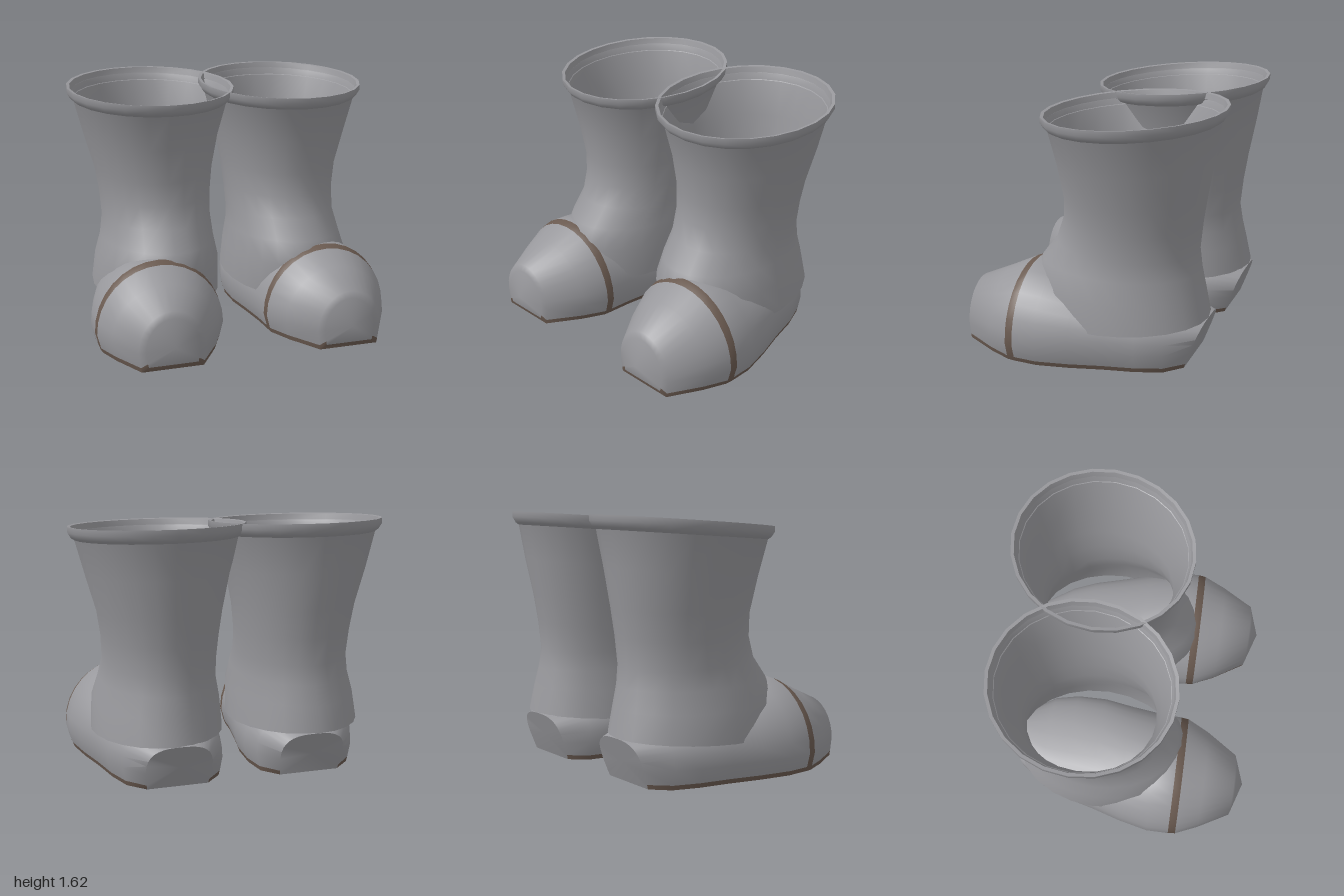
import * as THREE from 'three';
import { toCreasedNormals } from 'three/addons/utils/BufferGeometryUtils.js';

const V = (x, y, z) => new THREE.Vector3(x, y, z);

// Skin closed rings of points; side = -1 mirrors across x. isTrim(i, j) picks the second material.
function loft(rings, side, { front, back, isTrim = () => false } = {}) {
  const n = rings[0].length;
  const points = rings.flat();
  const faces = [[], []];
  const tri = (m, a, b, c) => faces[m].push(...(side > 0 ? [a, b, c] : [a, c, b]));
  for (let i = 0; i < rings.length - 1; i++) {
    for (let j = 0; j < n; j++) {
      const k = (j + 1) % n, m = isTrim(i, j) ? 1 : 0;
      const a = i * n + j, b = i * n + k, c = a + n, d = b + n;
      tri(m, a, c, d);
      tri(m, a, d, b);
    }
  }
  if (front) {
    points.push(front);
    for (let j = 0; j < n; j++) tri(0, points.length - 1, j, (j + 1) % n);
  }
  if (back) {
    points.push(back);
    const o = (rings.length - 1) * n;
    for (let j = 0; j < n; j++) tri(0, points.length - 1, o + (j + 1) % n, o + j);
  }
  const geo = new THREE.BufferGeometry();
  geo.setAttribute('position', new THREE.Float32BufferAttribute(
    points.flatMap(p => [p.x * side, p.y, p.z]), 3));
  geo.setIndex([...faces[0], ...faces[1]]);
  geo.addGroup(0, faces[0].length, 0);
  if (faces[1].length) geo.addGroup(faces[0].length, faces[1].length, 1);
  return toCreasedNormals(geo, 1.0);
}

// Tilted oval ring: height at back and front, z at back and front, inner and outer x
function oval([yB, yF, zB, zF, x0, x1], n = 24) {
  return Array.from({ length: n }, (_, i) => {
    const t = i / n * Math.PI * 2, s = -Math.sin(t);
    return V((x0 + x1) / 2 + (x1 - x0) / 2 * Math.cos(t),
      THREE.MathUtils.lerp(yB, yF, (s + 1) / 2),
      (zB + zF) / 2 + (zF - zB) / 2 * s);
  });
}

// Foot slice: flat base, short upright edge, rounded top; power below 1 makes it boxier
const ARCH = 16;
function slice([z, xc, w, h, power = 1]) {
  const pts = [V(xc + w * 0.92, 0, z), V(xc + w * 0.945, 0.03, z)];
  for (let i = 0; i <= ARCH; i++) {
    const t = i / ARCH * Math.PI, c = Math.cos(t);
    pts.push(V(xc + w * Math.sign(c) * Math.abs(c) ** power,
      0.12 + (h - 0.12) * Math.max(0, Math.sin(t)) ** power, z));
  }
  pts.push(V(xc - w * 0.945, 0.03, z), V(xc - w * 0.92, 0, z));
  return pts;
}

const SHAFT = [
  [1.57, 1.48, -0.805, 0.29, -0.075, 0.975],
  [1.53, 1.45, -0.79, 0.275, -0.06, 0.96],
  [1.30, 1.22, -0.755, 0.22, 0.005, 0.90],
  [1.06, 1.00, -0.715, 0.19, 0.05, 0.835],
  [0.88, 0.85, -0.69, 0.20, 0.07, 0.81],
  [0.70, 0.71, -0.675, 0.25, 0.08, 0.80],
  [0.58, 0.58, -0.695, 0.35, 0.075, 0.82],
  [0.45, 0.44, -0.725, 0.41, 0.05, 0.86],
  [0.29, 0.21, -0.76, 0.38, 0.04, 0.88],
];
const RIM = [
  [1.575, 1.485, -0.80, 0.285, -0.07, 0.97],
  [1.612, 1.522, -0.81, 0.295, -0.08, 0.98],
  [1.615, 1.525, -0.83, 0.315, -0.10, 1.00],
  [1.58, 1.49, -0.83, 0.315, -0.10, 1.00],
  [1.545, 1.46, -0.81, 0.295, -0.08, 0.98],
  [1.525, 1.445, -0.785, 0.27, -0.055, 0.955],
];
const FOOT = [
  [0.76, 0.575, 0.21, 0.37],
  [0.55, 0.565, 0.34, 0.465],
  [0.40, 0.56, 0.41, 0.54],
  [0.35, 0.56, 0.415, 0.56],
  [0.20, 0.555, 0.42, 0.55],
  [0.0, 0.52, 0.41, 0.48, 0.9],
  [-0.2, 0.475, 0.395, 0.43, 0.8],
  [-0.4, 0.45, 0.37, 0.38, 0.75],
  [-0.56, 0.435, 0.32, 0.34, 0.7],
  [-0.66, 0.43, 0.21, 0.29, 0.7],
];

export function createModel() {
  const grey = new THREE.MeshStandardMaterial({ color: 0x98989c, side: THREE.DoubleSide });
  grey.name = 'grey';
  const brown = new THREE.MeshStandardMaterial({ color: 0x6a5a50, side: THREE.DoubleSide });
  brown.name = 'brown';

  const model = new THREE.Group();
  model.name = 'boots';
  for (const side of [1, -1]) {
    const boot = new THREE.Group();
    boot.name = side > 0 ? 'leftBoot' : 'rightBoot';
    const add = (name, geometry) => {
      const mesh = new THREE.Mesh(geometry, [grey, brown]);
      mesh.name = name;
      boot.add(mesh);
    };

    // Leg and rolled top edge
    add('shaft', loft(SHAFT.map(r => oval(r)), side));
    add('rim', loft(RIM.map(r => oval(r)), side));

    // Foot with blunt toe, leaning heel, brown sole and band
    const rings = FOOT.map(slice);
    const toe = V(0.57, 0.16, 0.83);
    rings.unshift(rings[0].map(p => p.clone().lerp(toe, 0.2)));
    rings[rings.length - 1].forEach(p => { p.z -= 0.1 * p.y / 0.29; });
    const last = rings[0].length - 1;
    add('foot', loft(rings, side, {
      front: toe,
      back: V(0.43, 0.14, -0.708),
      isTrim: (i, j) => j === 0 || j >= last - 1 || i === 3,
    }));
    model.add(boot);
  }
  return model;
}
